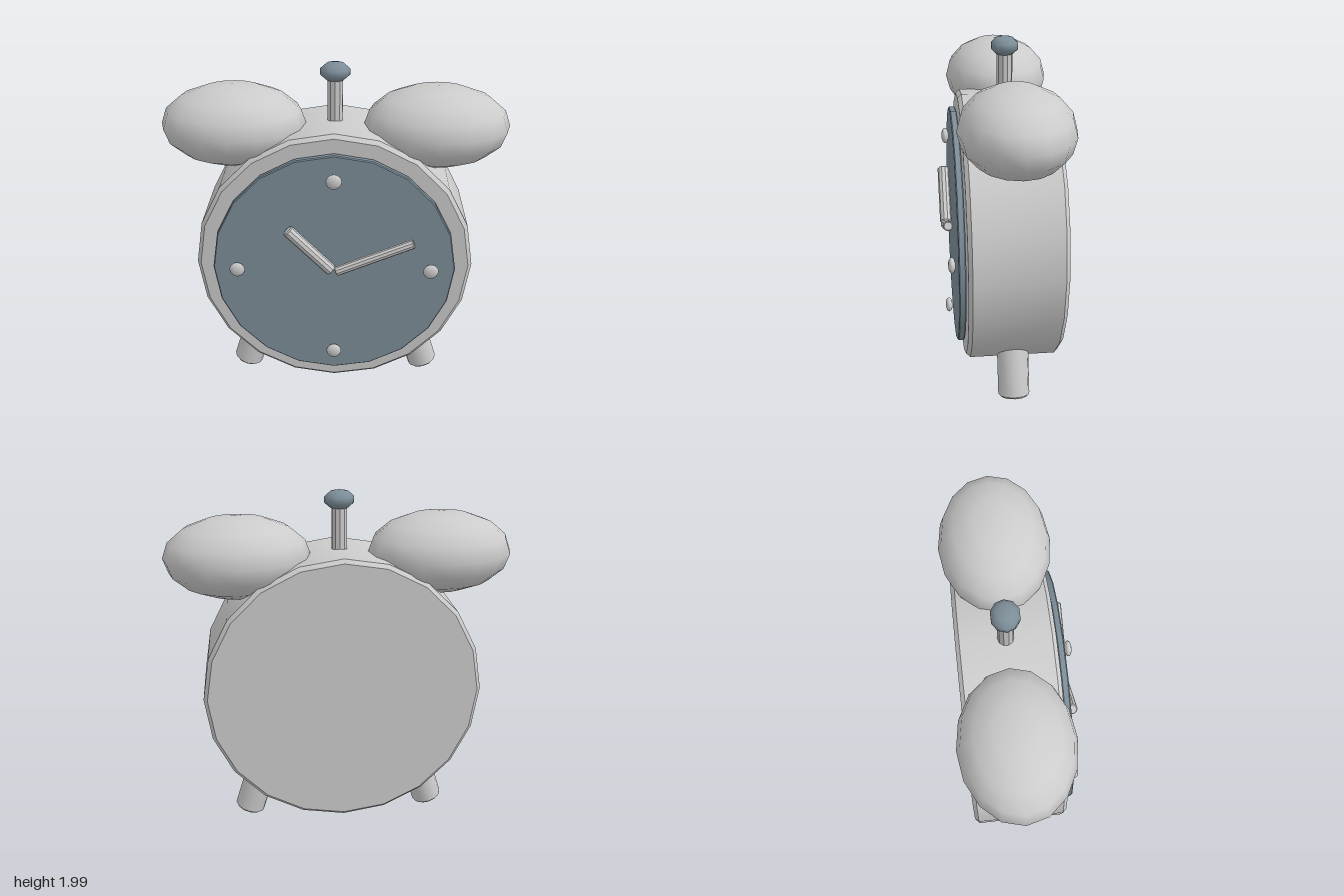
import * as THREE from 'three';
import { toCreasedNormals } from 'three/addons/utils/BufferGeometryUtils.js';

const grey = new THREE.MeshStandardMaterial({ color: 0xcccccc });
const slate = new THREE.MeshStandardMaterial({ color: 0x7d8e99 });
const MID_Y = 0.885; // centre of the dial
const AXIS_Z = -0.035; // depth of bells, stem and legs

// Solid cylinder along y with chamfered rims
function chamferedCylinder(radius, length, bevel, sides) {
  const h = length / 2;
  const profile = [
    [0, -h], [radius - bevel, -h], [radius, -h + bevel],
    [radius, h - bevel], [radius - bevel, h], [0, h],
  ].map(([r, y]) => new THREE.Vector2(r, y));
  return toCreasedNormals(new THREE.LatheGeometry(profile, sides), 0.6);
}

export function createModel() {
  const model = new THREE.Group();
  model.name = 'alarmClock';

  function add(name, geometry, material, x, y, z) {
    const mesh = new THREE.Mesh(geometry, material);
    mesh.name = name;
    mesh.position.set(x, y, z);
    model.add(mesh);
    return mesh;
  }

  // Chamfered rod between two points
  function rod(name, from, to, radius, bevel, sides) {
    const a = new THREE.Vector3(...from);
    const b = new THREE.Vector3(...to);
    const mid = a.clone().add(b).multiplyScalar(0.5);
    const mesh = add(name, chamferedCylinder(radius, a.distanceTo(b), bevel, sides), grey, mid.x, mid.y, mid.z);
    mesh.quaternion.setFromUnitVectors(new THREE.Vector3(0, 1, 0), b.sub(a).normalize());
    return mesh;
  }

  // Drum case and dial plate
  add('case', chamferedCylinder(0.79, 0.53, 0.022, 20).rotateX(Math.PI / 2), grey, 0, MID_Y, -0.035);
  add('dial', chamferedCylinder(0.69, 0.04, 0.006, 20).rotateX(Math.PI / 2), slate, 0, MID_Y, 0.255);

  // Hour markers at the quarters
  for (let i = 0; i < 4; i++) {
    const a = (i * Math.PI) / 2;
    const marker = new THREE.SphereGeometry(1, 10, 8).scale(0.044, 0.044, 0.021);
    add('hourMarker' + (i + 1), marker, grey, 0.55 * Math.sin(a), MID_Y + 0.55 * Math.cos(a), 0.305);
  }

  // Hands
  rod('hourHand', [-0.012, 0.89, 0.312], [-0.258, 1.143, 0.312], 0.034, 0.006, 10);
  rod('minuteHand', [0.012, 0.885, 0.316], [0.447, 1.07, 0.316], 0.027, 0.005, 10);

  // Bells and splayed legs, mirrored
  for (const [side, s] of [['left', 1], ['right', -1]]) {
    const bell = new THREE.SphereGeometry(1, 16, 8).scale(0.41, 0.23, 0.307);
    add(side + 'Bell', bell, grey, s * 0.57, 1.64, AXIS_Z - 0.003);
    rod(side + 'Leg', [s * 0.56, 0.035, AXIS_Z], [s * 0.44, 0.42, AXIS_Z], 0.09, 0.012, 12);
  }

  // Stem and knob
  rod('stem', [0, 1.6, AXIS_Z], [0, 1.93, AXIS_Z], 0.044, 0.006, 10);
  add('knob', new THREE.SphereGeometry(1, 10, 5).scale(0.087, 0.055, 0.08), slate, 0, 1.945, AXIS_Z);

  return model;
}
